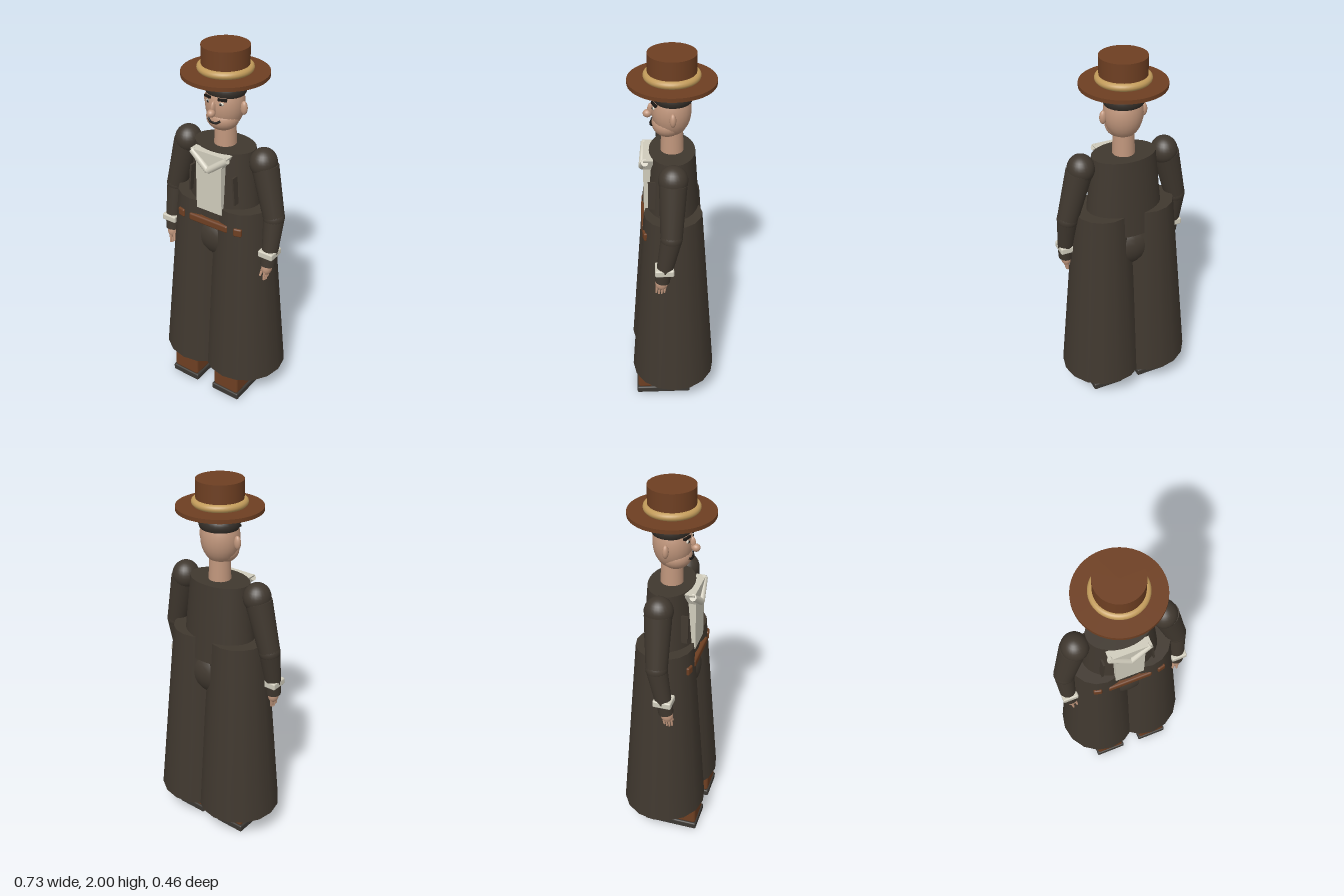
import * as THREE from 'three';
import { RoundedBoxGeometry } from 'three/addons/geometries/RoundedBoxGeometry.js';

const mat = (name, color, side = THREE.FrontSide) => {
  const m = new THREE.MeshStandardMaterial({ color, side });
  m.name = name;
  return m;
};

export function createModel() {
  const root = new THREE.Group();
  root.name = 'gentleman';
  const cloth = mat('dark cloth', 0x40382f);
  const skin = mat('skin', 0xc0967c);
  const brown = mat('brown leather', 0x6e3f22);
  const straw = mat('hat band', 0xc29b5a);
  const linen = mat('linen', 0xd0ccbc);
  const sole = mat('sole', 0x3c3833);
  const hair = mat('hair', 0x352f29);
  const ink = mat('face dark', 0x1c1815);

  const add = (name, geo, m, x = 0, y = 0, z = 0, parent = root) => {
    const mesh = new THREE.Mesh(geo, m);
    mesh.name = name;
    mesh.position.set(x, y, z);
    parent.add(mesh);
    return mesh;
  };
  const ball = (name, m, x, y, z, rx, ry = rx, rz = rx) => {
    const mesh = add(name, new THREE.SphereGeometry(1, 24, 16), m, x, y, z);
    mesh.scale.set(rx, ry, rz);
    return mesh;
  };
  // Tapered cylinder from point a (radius ra) to point b (radius rb)
  const limb = (name, m, a, b, ra, rb, seg = 16) => {
    const A = new THREE.Vector3(...a), B = new THREE.Vector3(...b);
    const d = B.clone().sub(A);
    const mesh = add(name, new THREE.CylinderGeometry(rb, ra, d.length(), seg), m);
    mesh.position.copy(A).addScaledVector(d, 0.5);
    mesh.quaternion.setFromUnitVectors(new THREE.Vector3(0, 1, 0), d.normalize());
    return mesh;
  };

  // Hat
  add('hatBrim', new THREE.CylinderGeometry(0.216, 0.216, 0.02, 48), brown, 0, 1.86, 0);
  add('hatCrown', new THREE.CylinderGeometry(0.118, 0.118, 0.132, 48), brown, 0, 1.934, 0);
  add('hatBand', new THREE.TorusGeometry(0.12, 0.019, 12, 48), straw, 0, 1.889, 0).rotation.x = Math.PI / 2;

  // Head and neck
  ball('head', skin, 0, 1.71, 0.003, 0.1, 0.137, 0.098);
  ball('jaw', skin, 0, 1.638, 0.022, 0.085, 0.066, 0.078);
  const cap = add('hair', new THREE.SphereGeometry(1, 28, 12, 0, Math.PI * 2, 0, Math.PI * 0.62), hair, 0, 1.785, -0.004);
  cap.scale.set(0.106, 0.068, 0.1);
  add('neck', new THREE.CylinderGeometry(0.053, 0.058, 0.15, 24), skin, 0, 1.55, 0);

  // Face
  ball('noseTip', skin, 0, 1.69, 0.12, 0.02, 0.02, 0.022);
  ball('noseBridge', skin, 0, 1.712, 0.1, 0.012, 0.034, 0.02);
  const lip = new THREE.CatmullRomCurve3([[-0.036, 1.648, 0.093], [-0.018, 1.637, 0.102], [0, 1.636, 0.105],
    [0.018, 1.637, 0.102], [0.036, 1.648, 0.093]].map(p => new THREE.Vector3(...p)));
  add('mouth', new THREE.TubeGeometry(lip, 16, 0.006, 8), ink);

  // Torso: elliptical coat body and pelvis
  const torso = add('coatBody', new THREE.CylinderGeometry(0.17, 0.215, 0.42, 32), cloth, 0, 1.28, 0);
  torso.scale.z = 0.68;
  ball('pelvis', cloth, 0, 0.985, 0, 0.17, 0.155, 0.157);

  // Shirt front and collar
  const bib = new THREE.Shape([[-0.077, 1.155], [0.077, 1.155], [0.077, 1.42], [0.11, 1.485], [-0.11, 1.485], [-0.077, 1.42]]
    .map(p => new THREE.Vector2(...p)));
  add('shirtFront', new THREE.ExtrudeGeometry(bib, { depth: 0.05, bevelEnabled: false }), linen, 0, 0, 0.097);

  // Belt
  add('beltPlate', new RoundedBoxGeometry(0.24, 0.042, 0.04, 2, 0.01), brown, 0, 1.09, 0.142);

  for (const s of [1, -1]) {
    // Facial pairs
    ball('ear', skin, s * 0.108, 1.702, 0, 0.019, 0.035, 0.016);
    ball('eye', linen, s * 0.037, 1.735, 0.088, 0.014, 0.009, 0.008);
    ball('pupil', ink, s * 0.037, 1.735, 0.094, 0.006, 0.007, 0.005);
    add('eyebrow', new THREE.BoxGeometry(0.045, 0.011, 0.016), ink, s * 0.042, 1.757, 0.086).rotation.set(0, s * 0.4, -s * 0.08);

    // Collar wing and lapel edge
    limb('collar', linen, [s * 0.105, 1.474, 0.138], [0, 1.395, 0.152], 0.018, 0.018, 12);
    add('lapelEdge', new THREE.BoxGeometry(0.01, 0.15, 0.05), cloth, s * 0.133, 1.3, 0.1).rotation.z = s * 0.08;

    // Belt loop
    add('beltLoop', new RoundedBoxGeometry(0.045, 0.045, 0.02, 2, 0.008), brown, s * 0.176, 1.09, 0.145).rotation.y = s * 0.25;

    // Trouser leg, wide at the hem
    limb('trouserLeg', cloth, [s * 0.138, 0.155, 0], [s * 0.122, 1.19, 0], 0.228, 0.149, 16);

    // Arm
    ball('shoulder', cloth, s * 0.23, 1.447, 0.004, 0.07, 0.076, 0.073);
    limb('upperArm', cloth, [s * 0.307, 1.165, 0.015], [s * 0.24, 1.43, 0.004], 0.055, 0.069, 20);
    ball('elbow', cloth, s * 0.307, 1.165, 0.015, 0.056);
    limb('forearm', cloth, [s * 0.312, 0.97, 0.05], [s * 0.308, 1.16, 0.015], 0.042, 0.054, 20);
    add('cuff', new RoundedBoxGeometry(0.085, 0.038, 0.096, 3, 0.008), linen, s * 0.311, 0.972, 0.051);
    limb('sleeveEnd', cloth, [s * 0.309, 0.9, 0.062], [s * 0.311, 0.96, 0.055], 0.039, 0.041, 20);

    // Hand with fingers and thumb
    ball('palm', skin, s * 0.307, 0.885, 0.066, 0.027, 0.042, 0.033);
    for (let i = 0; i < 4; i++) {
      const z = 0.046 + i * 0.014;
      limb('finger', skin, [s * 0.305, 0.807 + Math.abs(i - 1.5) * 0.008, z + 0.006], [s * 0.308, 0.87, z], 0.005, 0.008, 8);
    }
    limb('thumb', skin, [s * 0.282, 0.835, 0.09], [s * 0.292, 0.885, 0.078], 0.006, 0.009, 8);

    // Shoe
    add('shoe', new RoundedBoxGeometry(0.16, 0.14, 0.29, 3, 0.015), brown, s * 0.139, 0.105, 0.058);
    add('shoeSole', new RoundedBoxGeometry(0.176, 0.04, 0.302, 2, 0.008), sole, s * 0.139, 0.02, 0.058);
  }
  return root;
}
